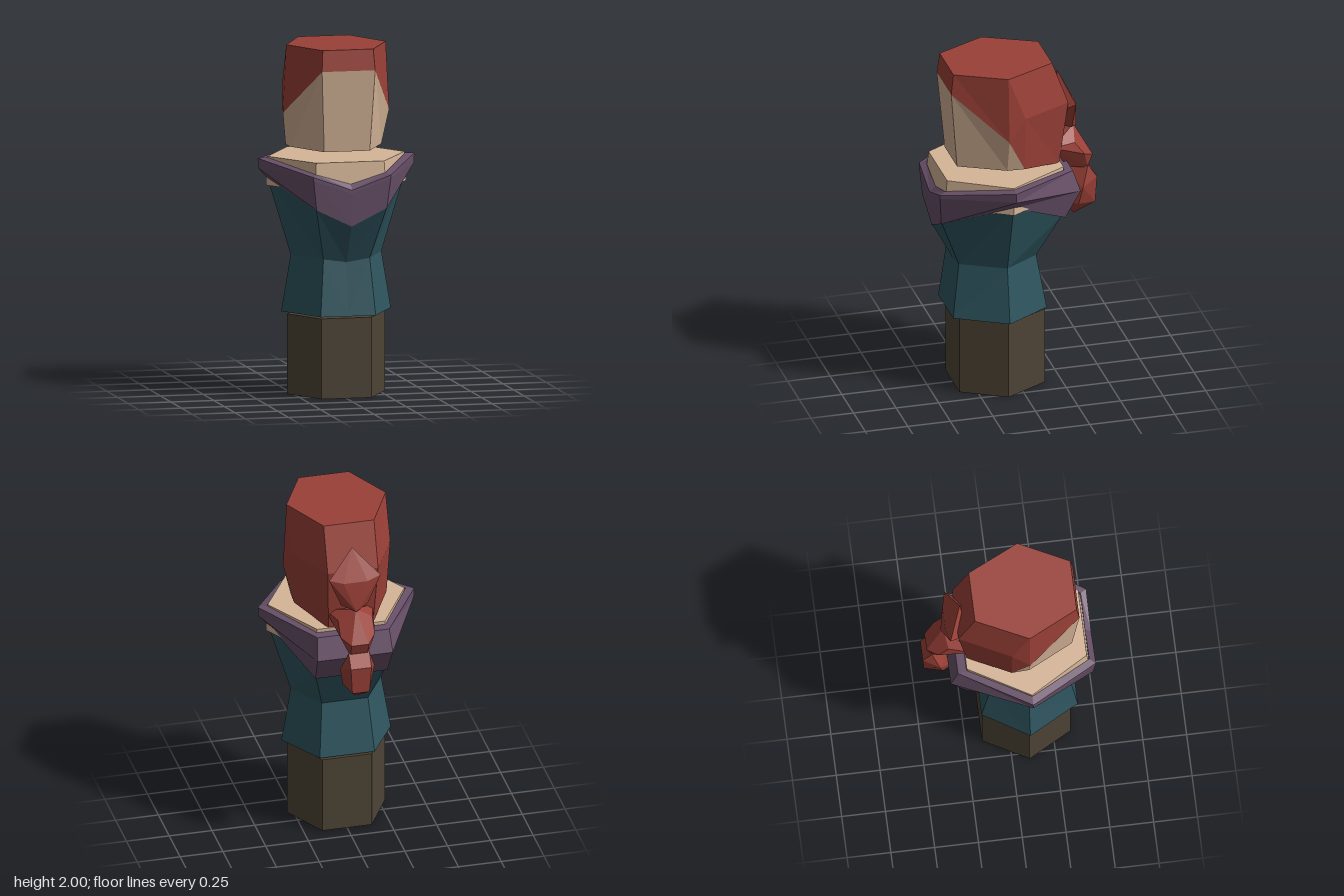
import * as THREE from 'three';
import { ConvexGeometry } from 'three/addons/geometries/ConvexGeometry.js';

const HAIR = 0x9a4037, SKIN = 0xd6b598, COLLAR = 0x685068, CLOTH = 0x2f5660, LEGS = 0x4e4436;

function makeMesh(name, geometry, color, side = THREE.FrontSide) {
  const mesh = new THREE.Mesh(geometry, new THREE.MeshStandardMaterial({ color, flatShading: true, side }));
  mesh.name = name;
  return mesh;
}

// Polygons (fanned into triangles) turned to face away from a centre point
function facesGeometry(faces, centre) {
  const c = new THREE.Vector3(...centre), out = [], tri = new THREE.Triangle();
  const normal = new THREE.Vector3(), mid = new THREE.Vector3();
  for (const face of faces) {
    for (let i = 1; i < face.length - 1; i++) {
      const p = [face[0], face[i], face[i + 1]];
      tri.set(...p.map((v) => new THREE.Vector3(...v)));
      tri.getNormal(normal);
      tri.getMidpoint(mid).sub(c);
      if (normal.dot(mid) < 0) p.reverse();
      out.push(...p.flat());
    }
  }
  const g = new THREE.BufferGeometry();
  g.setAttribute('position', new THREE.Float32BufferAttribute(out, 3));
  g.computeVertexNormals();
  return g;
}

const flip = ([x, y, z]) => [-x, y, z];
const mirrored = (faces) => faces.concat(faces.map((f) => f.map(flip)));

// Half a ring from front centre to back centre
const half = (front, corner, side, back) => [[0, front, corner[2]], corner, side, back, [0, back[1], back[2]]];
const hex = (y, x, cornerX, zFront, zBack) =>
  half(y, [cornerX, y, zFront], [x, y, 0.1], [cornerX, y, zBack]);

// Skin between successive half rings, mirrored, with optional flat ends
function loft(rows, centreY, capBottom, capTop) {
  const faces = [];
  for (let r = 0; r < rows.length - 1; r++) {
    for (let i = 0; i < 4; i++) {
      faces.push([rows[r][i], rows[r][i + 1], rows[r + 1][i + 1], rows[r + 1][i]]);
    }
  }
  if (capBottom) faces.push(rows[0]);
  if (capTop) faces.push(rows[rows.length - 1]);
  return facesGeometry(mirrored(faces), [0, centreY, 0.1]);
}

function createHead() {
  const head = new THREE.Group();
  head.name = 'head';
  const topFront = [0.147, 2, 0.385], topSide = [0.29, 2, 0.1], topBack = [0.147, 2, -0.195];
  const brow = [0.155, 1.88, 0.4], temple = [0.31, 1.61, 0.1];
  const chin = [0.133, 1.415, 0.36], jaw = [0.265, 1.415, 0.1], nape = [0.27, 1.415, 0];
  const ear = [0.292, 1.74, 0], backMid = [0.147, 1.74, -0.29], backLow = [0.13, 1.36, -0.24];

  const hair = mirrored([
    [topFront, topSide, temple, brow],
    [topSide, ear, temple],
    [temple, ear, nape],
    [topSide, topBack, backMid, ear],
    [ear, backMid, backLow, nape],
  ]).concat([
    [topFront, topSide, topBack, flip(topBack), flip(topSide), flip(topFront)],
    [topFront, brow, flip(brow), flip(topFront)],
    [topBack, backMid, flip(backMid), flip(topBack)],
    [backMid, backLow, flip(backLow), flip(backMid)],
    [nape, backLow, flip(backLow), flip(nape)],
  ]);
  const face = mirrored([
    [brow, temple, jaw, chin],
    [temple, nape, jaw],
  ]).concat([
    [brow, chin, flip(chin), flip(brow)],
    [chin, jaw, nape, flip(nape), flip(jaw), flip(chin)],
  ]);
  head.add(makeMesh('hair', facesGeometry(hair, [0, 1.7, 0.1]), HAIR));
  head.add(makeMesh('face', facesGeometry(face, [0, 1.7, 0.1]), SKIN));
  return head;
}

// Three faceted tufts hanging down the back; points off the middle are mirrored
function createBraid() {
  const braid = new THREE.Group();
  braid.name = 'braid';
  const tufts = [
    [[0, 1.88, -0.265], [0.15, 1.72, -0.335], [0.07, 1.7, -0.355], [0.08, 1.55, -0.33],
      [0, 1.52, -0.375], [0.1, 1.66, -0.22], [0, 1.54, -0.24]],
    [[0.14, 1.46, -0.2], [0, 1.53, -0.36], [0.1, 1.46, -0.34], [0.1, 1.38, -0.4],
      [0.05, 1.35, -0.46], [0.05, 1.27, -0.43], [0.06, 1.29, -0.31]],
    [[0, 1.32, -0.38], [0.06, 1.29, -0.43], [0.06, 1.21, -0.483], [0.1, 1.17, -0.39],
      [0.05, 1.05, -0.475], [0.08, 1.06, -0.37], [0, 0.97, -0.36], [0.05, 1.08, -0.29], [0, 1.24, -0.31]],
  ];
  tufts.forEach((half, i) => {
    const points = half.concat(half.filter((p) => p[0] > 0).map(flip)).map((p) => new THREE.Vector3(...p));
    braid.add(makeMesh(`braidTuft${i + 1}`, new ConvexGeometry(points), HAIR));
  });
  return braid;
}

export function createModel() {
  const model = new THREE.Group();
  model.name = 'figure';

  // Lower body block
  const legs = [hex(0, 0.285, 0.145, 0.35, -0.155), hex(0.46, 0.285, 0.145, 0.35, -0.155)];
  model.add(makeMesh('legs', loft(legs, 0.23, true, true), LEGS));

  // Flared hem, narrow waist and chest that dips to a point in front
  const torso = [
    hex(0.475, 0.32, 0.16, 0.39, -0.16),
    half(0.78, [0.135, 0.8, 0.35], [0.265, 0.8, 0.1], [0.135, 0.8, -0.105]),
    half(1.0, [0.205, 1.1, 0.468], [0.4, 1.24, 0.1], [0.205, 1.06, -0.235]),
  ];
  model.add(makeMesh('torso', loft(torso, 0.8, true, false), CLOTH, THREE.DoubleSide));

  // Folded collar: lower edge, outer fold, upper edge, inner edge
  const collar = [
    half(1.0, [0.205, 1.1, 0.472], [0.4, 1.24, 0.1], [0.21, 1.05, -0.255]),
    half(1.19, [0.225, 1.27, 0.485], [0.455, 1.3, 0.1], [0.22, 1.21, -0.343]),
    half(1.21, [0.225, 1.29, 0.485], [0.457, 1.355, 0.1], [0.21, 1.34, -0.3]),
    half(1.24, [0.2, 1.3, 0.45], [0.405, 1.36, 0.1], [0.2, 1.345, -0.25]),
  ];
  model.add(makeMesh('collar', loft(collar, 1.15, false, false), COLLAR, THREE.DoubleSide));

  // Bare shoulders filling the collar
  const shoulders = [hex(1.2, 0.41, 0.205, 0.452, -0.25), hex(1.365, 0.4, 0.198, 0.436, -0.248)];
  model.add(makeMesh('shoulders', loft(shoulders, 1.28, true, true), SKIN));

  model.add(createHead(), createBraid());
  return model;
}
